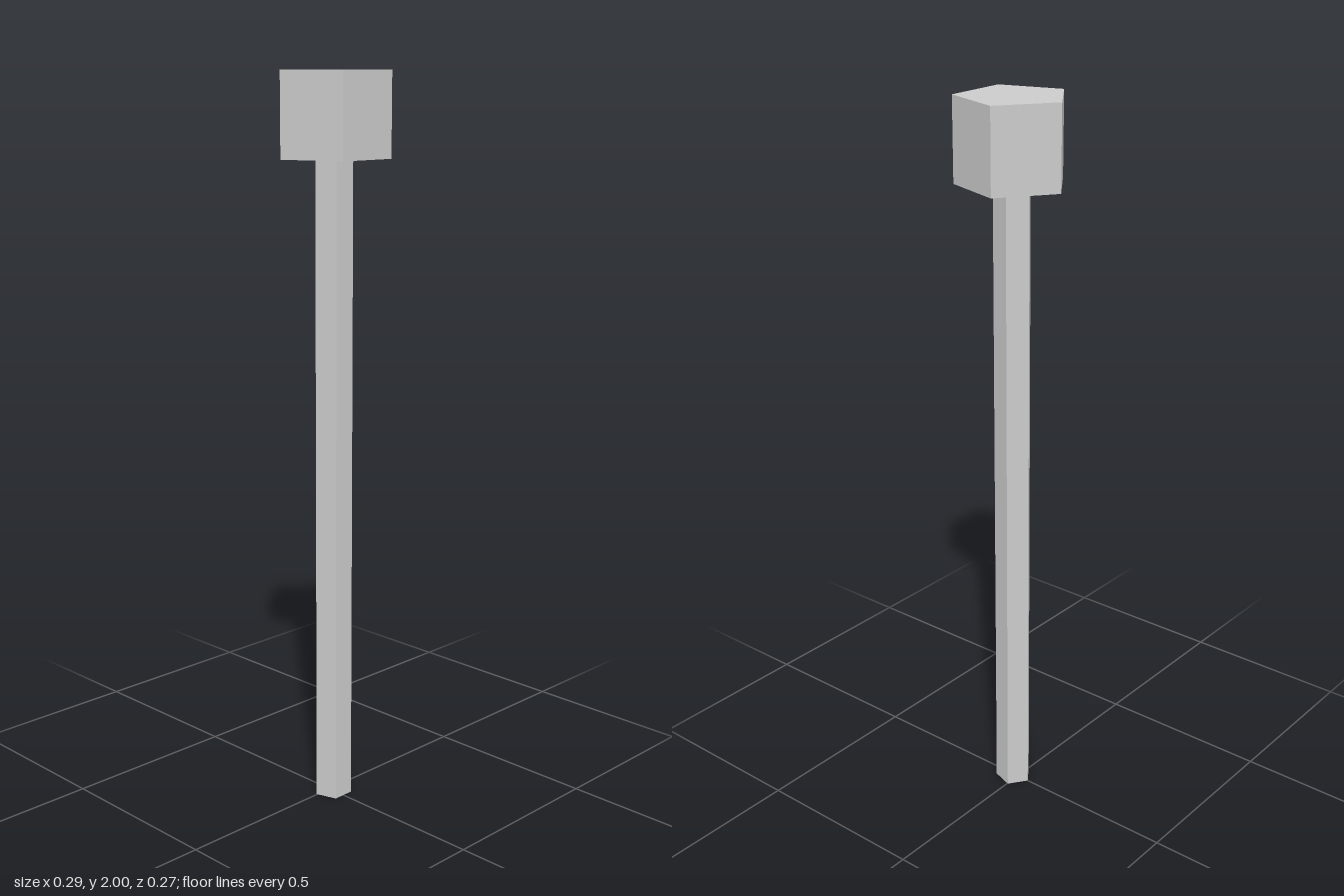
import * as THREE from 'three';

const material = new THREE.MeshStandardMaterial({ color: 0xcccccc, flatShading: true });

// Upright five-sided prism with one corner pointing to the back
function pentagonPrism(name, radius, bottom, top) {
  const geometry = new THREE.CylinderGeometry(radius, radius, top - bottom, 5, 1, false, Math.PI);
  const mesh = new THREE.Mesh(geometry, material);
  mesh.name = name;
  mesh.position.set(0, (bottom + top) / 2, 0.014);
  return mesh;
}

export function createModel() {
  const group = new THREE.Group();
  group.name = 'pentagonHeadedPin';
  group.add(pentagonPrism('shaft', 0.052, 0, 1.778));
  group.add(pentagonPrism('head', 0.151, 1.778, 2));
  return group;
}
